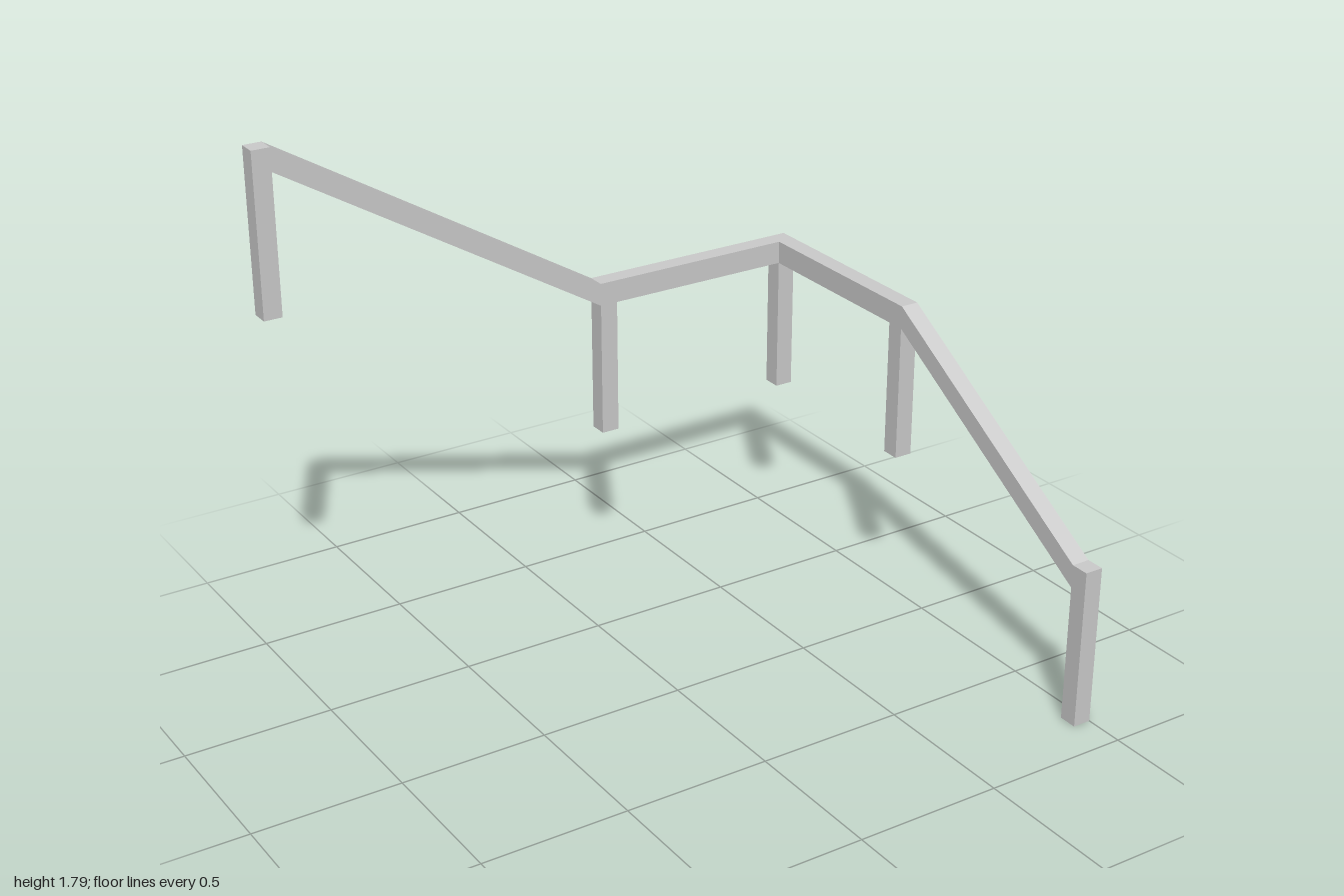
import * as THREE from 'three';

const T = 0.063;     // square post width
const D = 0.865;     // half depth
const RAIL = 0.079;  // vertical rail thickness

export function createModel() {
  const group = new THREE.Group();
  const material = new THREE.MeshStandardMaterial({ color: 0xcccccc, flatShading: true });

  const add = (name, geometry) => {
    const mesh = new THREE.Mesh(geometry, material);
    mesh.name = name;
    group.add(mesh);
  };

  // Square post given its minimum x and z corner and its height range
  const post = (name, x, z, y0, y1) =>
    add(name, new THREE.BoxGeometry(T, y1 - y0, T)
      .translate(x + T / 2, (y0 + y1) / 2, z + T / 2));

  // Rail of constant vertical thickness under a line of top points
  const railGeometry = (top) => {
    const bottom = top.map(([u, y]) => [u, y - RAIL]).reverse();
    const shape = new THREE.Shape([...top, ...bottom].map(([u, y]) => new THREE.Vector2(u, y)));
    return new THREE.ExtrudeGeometry(shape, { depth: T, bevelEnabled: false });
  };

  // Posts
  post('upperEndPost', -1, -D, 1.242, 1.794);
  post('backMiddlePost', 0.21, -D, 0.552, 1.103 - RAIL);
  post('cornerPost', 1 - T, -D, 0.552, 1.103);
  post('sideMiddlePost', 1 - T, -0.10 - T, 0.552, 1.103 - RAIL);
  post('lowerEndPost', 1 - T, D - T, 0, 0.552);

  // Back rail: slopes down from the upper end, then runs level to the corner
  add('backRail', railGeometry([[-1 + T, 1.794], [0.21, 1.103], [1 - T, 1.103]])
    .translate(0, 0, -D));

  // Side rail: runs level from the corner, then slopes down to the front
  add('sideRail', railGeometry([[-D + T, 1.103], [-0.10, 1.103], [D - T, 0.552]])
    .rotateY(-Math.PI / 2).translate(1, 0, 0));

  return group;
}
